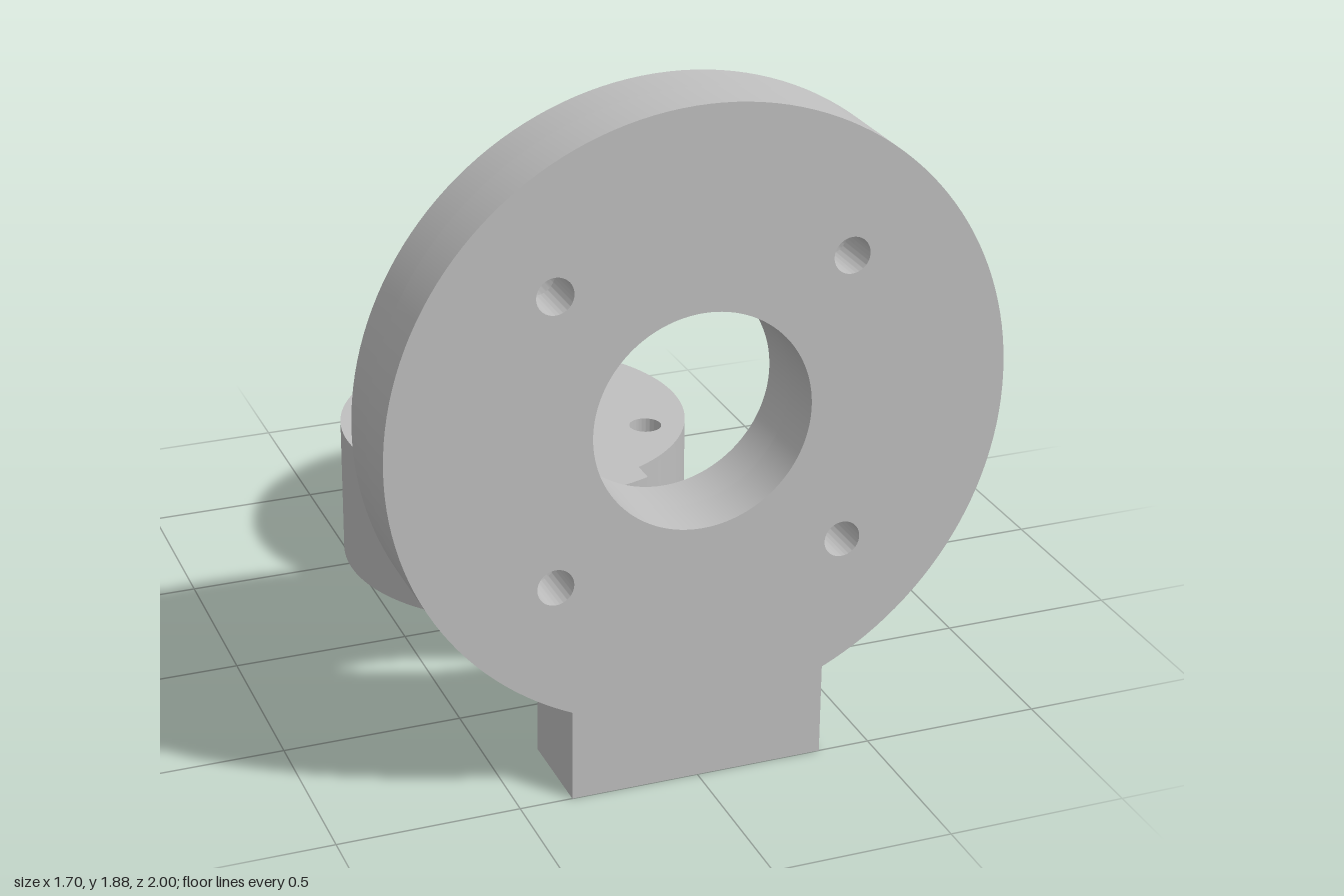
import * as THREE from 'three';
import { toCreasedNormals } from 'three/addons/utils/BufferGeometryUtils.js';

const metal = new THREE.MeshStandardMaterial({ color: 0xbfbfbf });
metal.name = 'grey metal';

// Punch round holes given as [x, y, radius]
function punch(shape, holes) {
  for (const [x, y, r] of holes) {
    const h = new THREE.Path();
    h.absarc(x, y, r, 0, Math.PI * 2, true);
    shape.holes.push(h);
  }
  return shape;
}

function extrude(name, shape, depth) {
  const g = new THREE.ExtrudeGeometry(shape, { depth, bevelEnabled: false, curveSegments: 64 });
  const m = new THREE.Mesh(toCreasedNormals(g, 0.5), metal);
  m.name = name;
  return m;
}

// Plate lying flat between y0 and y1; shape y runs towards -z
function flat(name, shape, y0, y1) {
  const m = extrude(name, shape, y1 - y0);
  m.geometry.rotateX(-Math.PI / 2);
  m.position.y = y0;
  return m;
}

// Plate standing between z0 and z1
function upright(name, shape, z0, z1) {
  const m = extrude(name, shape, z1 - z0);
  m.position.z = z0;
  return m;
}

const polygon = pts => new THREE.Shape(pts.map(p => new THREE.Vector2(...p)));

const ARM = 0.225, FOOT = 0.355;

// Large disc continuing downwards into the foot
function flangeShape(boltRadius) {
  const R = 0.85, cy = 1.03, a = Math.acos(FOOT / R), s = new THREE.Shape();
  s.absarc(0, cy, R, -a, Math.PI + a, false);
  s.lineTo(-FOOT, 0.15);
  s.lineTo(FOOT, 0.15);
  s.closePath();
  const holes = [[0, cy, 0.3]];
  for (const x of [-0.4, 0.4]) for (const y of [-0.4, 0.4]) holes.push([x, cy + y, boltRadius]);
  return punch(s, holes);
}

// Round hub with a short neck over the arm
function hubShape(boltRadius) {
  const cy = 0.475, a = Math.acos(ARM / 0.52), b = Math.acos(ARM / 0.585), s = new THREE.Shape();
  s.absarc(0, cy, 0.52, -a, Math.PI + a, false);
  s.absarc(0, cy, 0.585, Math.PI + b, Math.PI * 2 - b, false);
  s.closePath();
  const holes = [[0, cy, 0.18]];
  for (let i = 0; i < 6; i++) {
    const t = Math.PI / 2 + i * Math.PI / 3;
    holes.push([0.405 * Math.cos(t), cy + 0.405 * Math.sin(t), boltRadius]);
  }
  return punch(s, holes);
}

// Arm with small fillets where it meets the foot
function armShape(boltRadius) {
  const f = 0.025, s = new THREE.Shape();
  s.moveTo(-ARM, -0.05);
  s.lineTo(-ARM, -0.73 + f);
  s.quadraticCurveTo(-ARM, -0.73, -ARM - f, -0.73);
  s.lineTo(ARM + f, -0.73);
  s.quadraticCurveTo(ARM, -0.73, ARM, -0.73 + f);
  s.lineTo(ARM, -0.05);
  s.closePath();
  return punch(s, [[0, -0.655, boltRadius]]);
}

// Raised tab with rounded rear corners
function tabShape() {
  const w = 0.145, z = -0.583, r = 0.025, s = new THREE.Shape();
  s.moveTo(-w - 0.015, -0.735);
  s.lineTo(w + 0.015, -0.735);
  s.quadraticCurveTo(w, -0.73, w, -0.71);
  s.lineTo(w, z - r);
  s.quadraticCurveTo(w, z, w - r, z);
  s.lineTo(-w + r, z);
  s.quadraticCurveTo(-w, z, -w, z - r);
  s.lineTo(-w, -0.71);
  s.quadraticCurveTo(-w, -0.73, -w - 0.015, -0.735);
  return punch(s, [[0, -0.655, 0.037]]);
}

export function createModel() {
  const model = new THREE.Group();
  model.name = 'mounting bracket';

  // Bolt holes are counterbored, so those parts are made of two layers
  model.add(
    upright('flangeFront', flangeShape(0.05), 0.86, 1),
    upright('flangeBack', flangeShape(0.085), 0.73, 0.86),
    flat('hubTop', hubShape(0.048), 0.28, 0.42),
    flat('hubBottom', hubShape(0.085), 0, 0.28),
    flat('armTop', armShape(0.037), 0.13, 0.165),
    flat('armBottom', armShape(0.085), 0, 0.13),
    flat('tab', tabShape(), 0.165, 0.283)
  );

  // Foot block with two blind holes from below
  const foot = polygon([[-FOOT, -1], [FOOT, -1], [FOOT, -0.73], [-FOOT, -0.73]]);
  model.add(flat('foot', punch(foot, [[-0.17, -0.87, 0.085], [0.17, -0.87, 0.085]]), 0, 0.15));
  return model;
}
